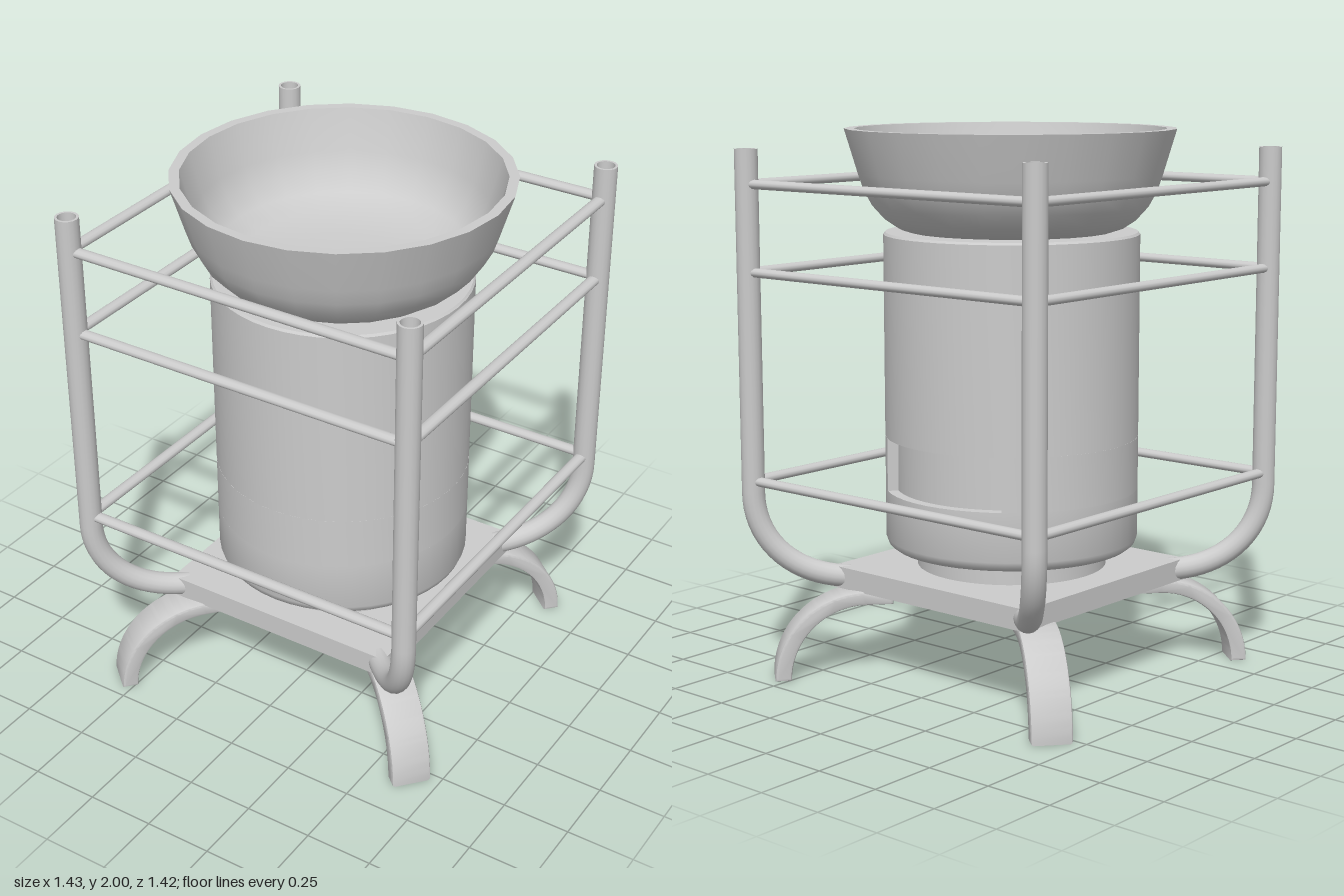
import * as THREE from 'three';
import { toCreasedNormals } from 'three/addons/utils/BufferGeometryUtils.js';

export function createModel() {
  const model = new THREE.Group();
  const grey = new THREE.MeshStandardMaterial({ color: 0xcccccc });
  const greyOpen = new THREE.MeshStandardMaterial({ color: 0xcccccc, side: THREE.DoubleSide });

  const add = (name, geometry, parent = model, material = grey) => {
    const mesh = new THREE.Mesh(geometry, material);
    mesh.name = name;
    parent.add(mesh);
    return mesh;
  };
  const lathe = (points, sides) => toCreasedNormals(
    new THREE.LatheGeometry(points.map(([r, y]) => new THREE.Vector2(r, y)), sides), 0.6);

  // Square base plate
  add('basePlate', new THREE.BoxGeometry(0.93, 0.08, 0.93)).position.set(0.01, 0.36, 0);

  // Drum with a shallow curved window recess at the back
  const drum = new THREE.Group();
  drum.name = 'drum';
  drum.position.set(0.015, 0, 0.015);
  model.add(drum);
  const R = 0.465, recessR = 0.425, winLow = 0.69, winHigh = 0.885;
  add('drumFoot', lathe([[0, 0.39], [0.35, 0.39], [0.35, 0.48], [0, 0.48]], 48), drum);
  add('drumLower', lathe([[0, 0.47], [0.42, 0.47], [0.44, 0.475], [0.456, 0.487],
    [R, 0.51], [R, winLow], [0, winLow]], 48), drum);
  add('drumUpper', lathe([[0, winHigh], [R, winHigh], [R, 1.622], [0.458, 1.63], [0, 1.63]], 48), drum);
  const band = new THREE.Shape();
  const half = THREE.MathUtils.degToRad(36), back = Math.PI / 2;
  band.absarc(0, 0, R, back + half, back - half + 2 * Math.PI, false);
  band.absarc(0, 0, recessR, back - half, back + half, false);
  const bandGeo = new THREE.ExtrudeGeometry(band,
    { depth: winHigh - winLow, bevelEnabled: false, curveSegments: 40 });
  bandGeo.rotateX(-Math.PI / 2);
  add('drumWindowBand', toCreasedNormals(bandGeo, 0.6), drum).position.y = winLow;

  // Bowl on top
  add('bowl', lathe([[0, 1.632], [0.37, 1.632], [0.41, 1.645], [0.455, 1.675], [0.5, 1.725],
    [0.53, 1.78], [0.55, 1.84], [0.598, 2], [0.562, 2], [0.52, 1.85], [0.49, 1.78],
    [0.44, 1.72], [0.36, 1.685], [0.2, 1.67], [0, 1.665]], 24)).position.set(0.015, 0, 0.01);

  // Hollow corner posts that bend in to the plate corners
  const P = 0.668, topY = 1.93, postR = 0.042, boreR = 0.033;
  const frame = new THREE.Group();
  frame.name = 'frame';
  frame.position.x = 0.006;
  model.add(frame);
  for (const sx of [-1, 1]) for (const sz of [-1, 1]) {
    const at = (d, y) => new THREE.Vector3(sx * d, y, sz * d);
    const path = new THREE.CurvePath();
    path.add(new THREE.LineCurve3(at(P, topY), at(P, 0.68)));
    path.add(new THREE.CubicBezierCurve3(at(P, 0.68), at(P, 0.5), at(0.57, 0.365), at(0.42, 0.36)));
    const post = new THREE.Group();
    post.name = 'cornerPost';
    frame.add(post);
    add('postTube', new THREE.TubeGeometry(path, 60, postR, 16), post, greyOpen);
    add('postBore', new THREE.TubeGeometry(path, 60, boreR, 16), post, greyOpen);
    const rim = add('postRim', new THREE.RingGeometry(boreR, postR, 16), post, greyOpen);
    rim.rotation.x = -Math.PI / 2;
    rim.position.copy(at(P, topY));
  }

  // Three levels of rails around the posts
  for (const y of [0.725, 1.49, 1.805]) for (let i = 0; i < 4; i++) {
    const geo = new THREE.CylinderGeometry(1, 1, 2 * P - 0.06, 12);
    geo.rotateZ(Math.PI / 2).scale(1, 0.017, 0.023).translate(0, y, P).rotateY(i * Math.PI / 2);
    add('rail', geo, frame);
  }

  // Four arched strap legs, swivelled slightly off the diagonals
  const arch = new THREE.Shape();
  arch.moveTo(0.45, 0.275);
  arch.lineTo(0.55, 0.275);
  arch.absellipse(0.55, 0, 0.275, 0.275, Math.PI / 2, 0, true);
  arch.lineTo(0.885, 0);
  arch.absellipse(0.55, 0, 0.335, 0.325, 0, Math.PI / 2, false);
  arch.lineTo(0.45, 0.325);
  const width = 0.144;
  const legGeo = new THREE.ExtrudeGeometry(arch, { depth: width - 0.02, curveSegments: 20,
    bevelThickness: 0.01, bevelSize: 0.01, bevelOffset: -0.01, bevelSegments: 2 });
  legGeo.translate(0, 0, -(width - 0.02) / 2);
  const legShape = toCreasedNormals(legGeo, 0.6);
  for (let i = 0; i < 4; i++) {
    add('leg', legShape).rotation.y = -THREE.MathUtils.degToRad(41) + i * Math.PI / 2;
  }
  return model;
}
